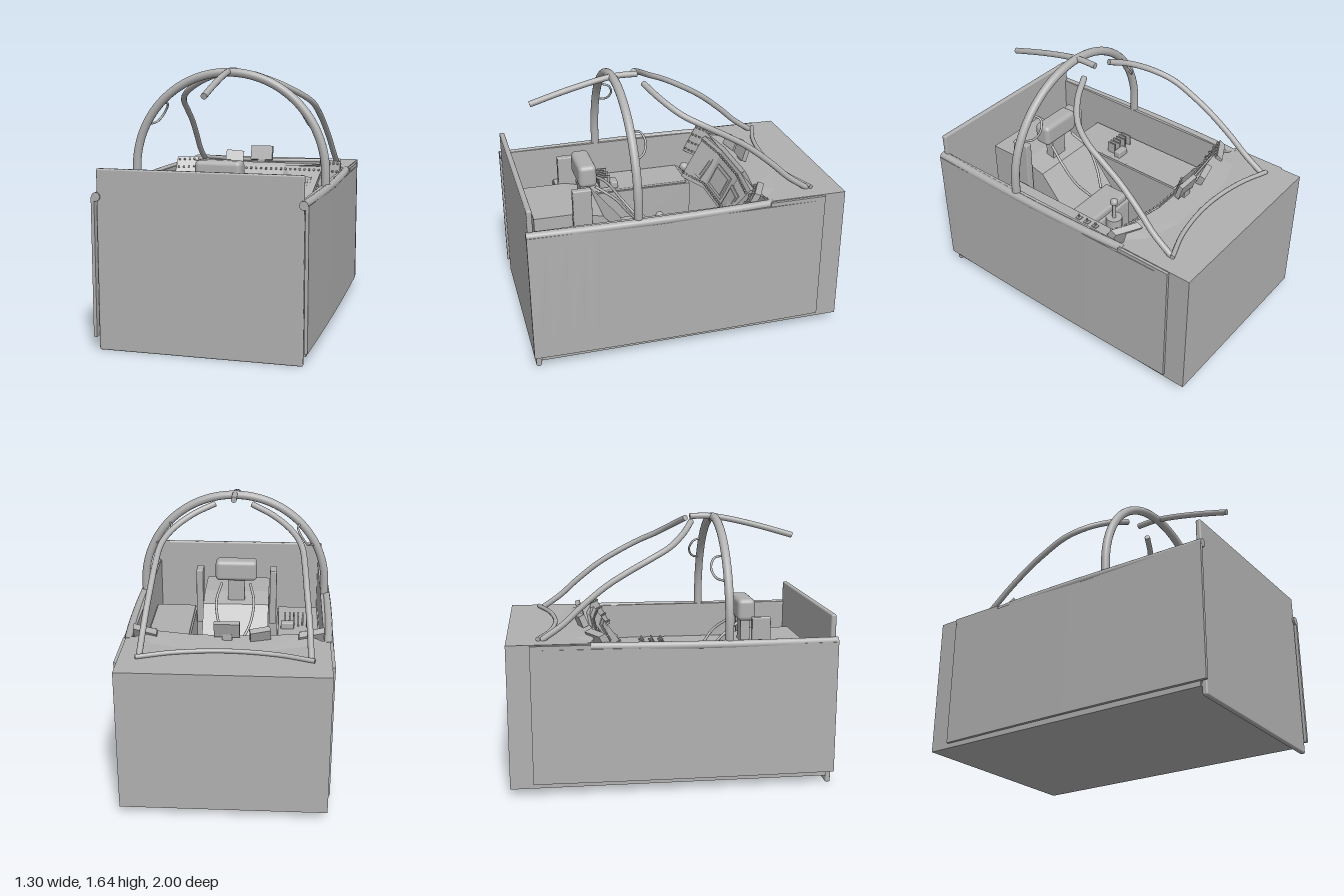
import * as THREE from 'three';
import { RoundedBoxGeometry } from 'three/addons/geometries/RoundedBoxGeometry.js';
import { ConvexGeometry } from 'three/addons/geometries/ConvexGeometry.js';

const V = (x, y, z) => new THREE.Vector3(x, y, z);

export function createModel() {
  const model = new THREE.Group();
  const grey = new THREE.MeshStandardMaterial({ color: 0xb0b0b0 });
  grey.name = 'grey';

  const add = (name, geometry, parent = model) => {
    const mesh = new THREE.Mesh(geometry, grey);
    mesh.name = name;
    parent.add(mesh);
    return mesh;
  };
  // box from its min and max corners, optionally with rounded edges
  const box = (name, x0, x1, y0, y1, z0, z1, r = 0) => {
    const s = [x1 - x0, y1 - y0, z1 - z0];
    const m = add(name, r ? new RoundedBoxGeometry(...s, 3, r) : new THREE.BoxGeometry(...s));
    m.position.set((x0 + x1) / 2, (y0 + y1) / 2, (z0 + z1) / 2);
    return m;
  };
  // round bar through points, with closed ends
  const bar = (name, pts, r, segs = 40) => {
    const curve = new THREE.CatmullRomCurve3(pts);
    const m = add(name, new THREE.TubeGeometry(curve, segs, r, 14));
    [0, 1].forEach(t => {
      const cap = add(name + 'End', new THREE.CircleGeometry(r, 14));
      cap.position.copy(curve.getPoint(t));
      const dir = curve.getTangent(t).multiplyScalar(t ? 1 : -1);
      cap.quaternion.setFromUnitVectors(V(0, 0, 1), dir);
    });
    return m;
  };
  const rod = (name, x, y, z, r, h) => {
    const m = add(name, new THREE.CylinderGeometry(r, r, h, 20));
    m.position.set(x, y, z);
    return m;
  };

  // hull
  box('floor', -0.61, 0.61, 0.05, 0.08, -1, 0.96);
  box('noseWall', -0.62, 0.62, 0.05, 0.94, -1, -0.97);
  box('noseBulkhead', -0.58, 0.58, 0.08, 0.92, -0.66, -0.63);
  const deck = new THREE.Shape([[-0.62, 1], [-0.62, 0.5], [-0.5, 0.5], [-0.46, 0.47], [-0.18, 0.47],
    [0.18, 0.47], [0.46, 0.47], [0.5, 0.5], [0.62, 0.5], [0.62, 1]].map(p => new THREE.Vector2(...p)));
  const deckMesh = add('noseDeck', new THREE.ExtrudeGeometry(deck, { depth: 0.03, bevelEnabled: false }));
  deckMesh.rotation.x = -Math.PI / 2;
  deckMesh.position.y = 0.91;
  box('rearPlate', -0.608, 0.608, 0, 1.075, 0.955, 0.988, 0.01);

  for (const s of [-1, 1]) {
    const span = (name, a, b, ...rest) => box(name, Math.min(s * a, s * b), Math.max(s * a, s * b), ...rest);
    span('hullSide', 0.585, 0.62, 0.05, 0.93, -1, 0.955);
    // slightly bowed outer panel
    const panel = new THREE.BoxGeometry(0.02, 0.83, 1.86, 1, 1, 16);
    const p = panel.attributes.position;
    for (let i = 0; i < p.count; i++) {
      const u = p.getZ(i) / 0.93;
      p.setX(i, p.getX(i) + s * 0.01 * (1 - u * u));
    }
    panel.computeVertexNormals();
    add('sidePanel', panel).position.set(s * 0.627, 0.495, 0.07);
    bar('sillRail', [V(s * 0.608, 0.912, 1), V(s * 0.622, 0.912, 0.5), V(s * 0.626, 0.915, 0.1),
      V(s * 0.618, 0.918, -0.3), V(s * 0.605, 0.918, -0.52)], 0.026);
    span('sillStrip', 0.6, 0.638, 0.9, 0.935, -0.86, -0.5);

    // side consoles, seat posts and knobs
    span('sideConsole', 0.29, 0.585, 0.08, 0.68, -0.27, 0.65);
    span('consoleTop', 0.3, 0.578, 0.68, 0.695, -0.25, 0.645, 0.006);
    span('seatPost', 0.237, 0.285, 0.6, 1.0, 0.54, 0.66, 0.008);
    add('consoleKnob', new THREE.SphereGeometry(0.032, 20, 14)).position.set(s * 0.49, 0.715, -0.29);
    rod('knobStem', s * 0.49, 0.67, -0.29, 0.014, 0.08);

    // canopy frame and grab loop
    bar('canopyBar', [V(s * 0.12, 1.595, 0.165), V(s * 0.26, 1.54, 0.1), V(s * 0.38, 1.47, 0),
      V(s * 0.44, 1.41, -0.12), V(s * 0.46, 1.33, -0.27), V(s * 0.47, 1.25, -0.4), V(s * 0.485, 1.13, -0.55),
      V(s * 0.495, 1.03, -0.66), V(s * 0.5, 0.94, -0.79)], 0.019, 60);
    bar('grabLoop', [V(s * 0.525, 1.28, 0.31), V(s * 0.49, 1.295, 0.265), V(s * 0.45, 1.35, 0.24),
      V(s * 0.42, 1.405, 0.265), V(s * 0.43, 1.42, 0.31)], 0.007, 24);
    bar('harnessStrap', [V(s * 0.055, 0.62, 0.19), V(s * 0.11, 0.72, 0.27), V(s * 0.13, 0.84, 0.36),
      V(s * 0.1, 0.93, 0.48)], 0.009, 24);
  }

  // main hoop
  const hoop = [V(-0.61, 0.9, 0.33)];
  for (let i = 0; i <= 24; i++) {
    const a = Math.PI * (1 - i / 24);
    hoop.push(V(0.61 * Math.cos(a), 1 + 0.61 * Math.sin(a), 0.33));
  }
  hoop.push(V(0.61, 0.9, 0.33));
  bar('mainHoop', hoop, 0.027, 90);
  bar('spineBar', [V(0, 1.618, 0.175), V(0, 1.618, 0.3), V(0, 1.6, 0.42), V(0, 1.55, 0.63), V(0, 1.487, 0.85)], 0.019);
  bar('windscreenBase', [V(-0.52, 0.952, -0.81), V(-0.3, 0.952, -0.735), V(0, 0.952, -0.7),
    V(0.3, 0.952, -0.735), V(0.52, 0.952, -0.81)], 0.014);

  // seat
  box('seatBase', -0.23, 0.23, 0.08, 0.48, 0.07, 0.9, 0.02);
  box('seatCushion', -0.21, 0.21, 0.47, 0.53, 0.08, 0.3, 0.02);
  const back = new THREE.Shape([[0.2, 0.46], [0.46, 0.78], [0.62, 0.82], [0.9, 0.82], [0.9, 0.46]]
    .map(q => new THREE.Vector2(-q[0], q[1])));
  const backMesh = add('seatBack', new THREE.ExtrudeGeometry(back, { depth: 0.46, bevelEnabled: false }));
  backMesh.rotation.y = Math.PI / 2;
  backMesh.position.x = -0.23;
  box('headrest', -0.145, 0.145, 0.945, 1.09, 0.475, 0.59, 0.03);
  box('headrestSupport', -0.06, 0.06, 0.76, 0.97, 0.51, 0.57);

  // control stick
  rod('stickBase', 0, 0.28, 0.03, 0.056, 0.4);
  rod('stick', 0, 0.53, 0.03, 0.013, 0.14);
  add('stickGrip', new THREE.SphereGeometry(0.028, 16, 12)).position.set(0, 0.61, 0.03);

  // right console switches
  for (let i = 0; i < 3; i++) for (let j = 0; j < 3; j++) {
    const x = 0.35 + i * 0.068, z = -0.095 + j * 0.068;
    box('switchPlate', x - 0.016, x + 0.016, 0.69, 0.702, z - 0.018, z + 0.018);
    box('switch', x - 0.005, x + 0.005, 0.7, 0.725, z - 0.005, z + 0.005);
  }
  // left console throttle quadrant
  box('throttleBlock', -0.41, -0.32, 0.69, 0.74, 0.235, 0.285, 0.008);
  for (let i = 0; i < 6; i++) {
    const x = -0.5 + i * 0.03;
    box('throttleLever', x - 0.005, x + 0.005, 0.69, 0.77, 0.28 + (i % 2) * 0.02, 0.36);
  }

  // instrument panel faces: corners top-left, top-right, bottom-right, bottom-left
  const panelFace = (name, c, cols, rows, screen) => {
    const off = V(0, -0.02, -0.04);
    add(name, new ConvexGeometry([...c, ...c.map(q => q.clone().add(off))]));
    const at = (u, v) => c[0].clone().lerp(c[1], u).lerp(c[3].clone().lerp(c[2], u), v);
    const ux = c[1].clone().sub(c[0]).normalize();
    const n = c[3].clone().sub(c[0]).cross(ux).normalize();
    const basis = new THREE.Matrix4().makeBasis(ux, n.clone().cross(ux), n);
    const plate = (label, u, v, w, h, d) => {
      const m = add(label, new THREE.BoxGeometry(w, h, d));
      m.position.copy(at(u, v)).addScaledVector(n, d / 2);
      m.quaternion.setFromRotationMatrix(basis);
    };
    if (screen) {
      plate('displayFrame', 0.5, 0.55, screen, 0.16, 0.009);
      plate('display', 0.5, 0.55, screen - 0.04, 0.12, 0.014);
    }
    for (let i = 0; i < cols; i++) for (let j = 0; j < rows; j++) {
      plate('panelButton', (i + 0.5) / cols, rows > 1 ? 0.1 + 0.8 * j / (rows - 1) : 0.1, 0.012, 0.012, 0.014);
    }
  };
  panelFace('centrePanel', [V(-0.18, 0.945, -0.465), V(0.18, 0.945, -0.465), V(0.17, 0.69, -0.33), V(-0.17, 0.69, -0.33)], 10, 2, 0.25);
  panelFace('rightWingPanel', [V(0.18, 0.945, -0.465), V(0.46, 0.95, -0.43), V(0.385, 0.69, -0.235), V(0.17, 0.69, -0.33)], 8, 2, 0.18);
  panelFace('leftWingPanel', [V(-0.46, 0.95, -0.43), V(-0.18, 0.945, -0.465), V(-0.17, 0.69, -0.33), V(-0.385, 0.69, -0.235)], 8, 2, 0.18);
  panelFace('rightOuterPanel', [V(0.43, 0.99, -0.49), V(0.585, 0.99, -0.41), V(0.585, 0.8, -0.31), V(0.42, 0.8, -0.38)], 5, 4, 0);
  panelFace('leftOuterPanel', [V(-0.585, 0.99, -0.41), V(-0.43, 0.99, -0.49), V(-0.42, 0.8, -0.38), V(-0.585, 0.8, -0.31)], 5, 4, 0);

  // glare shield facets on the deck
  for (const s of [-1, 1]) {
    add('glareShieldWing', new ConvexGeometry([V(s * 0.2, 0.935, -0.7), V(s * 0.46, 0.935, -0.62), V(s * 0.58, 0.935, -0.5),
      V(s * 0.18, 0.935, -0.47), V(s * 0.46, 0.965, -0.45), V(s * 0.2, 0.96, -0.49), V(s * 0.25, 0.945, -0.62)]));
  }
  add('glareShieldCentre', new ConvexGeometry([V(-0.2, 0.935, -0.7), V(0.2, 0.935, -0.7), V(0.18, 0.935, -0.46),
    V(-0.18, 0.935, -0.46), V(-0.2, 0.96, -0.49), V(0.2, 0.96, -0.49)]));

  // sight glass and small display on top of the glare shield
  const sight = box('sightPlate', -0.075, 0.08, 0.97, 1.07, -0.555, -0.525);
  sight.rotation.x = -0.3;
  box('sightFoot', -0.03, 0.03, 0.94, 0.99, -0.55, -0.52);
  const unit = box('sideDisplay', -0.26, -0.135, 0.955, 1.03, -0.56, -0.52);
  unit.rotation.set(-0.4, 0.25, 0);

  return model;
}
